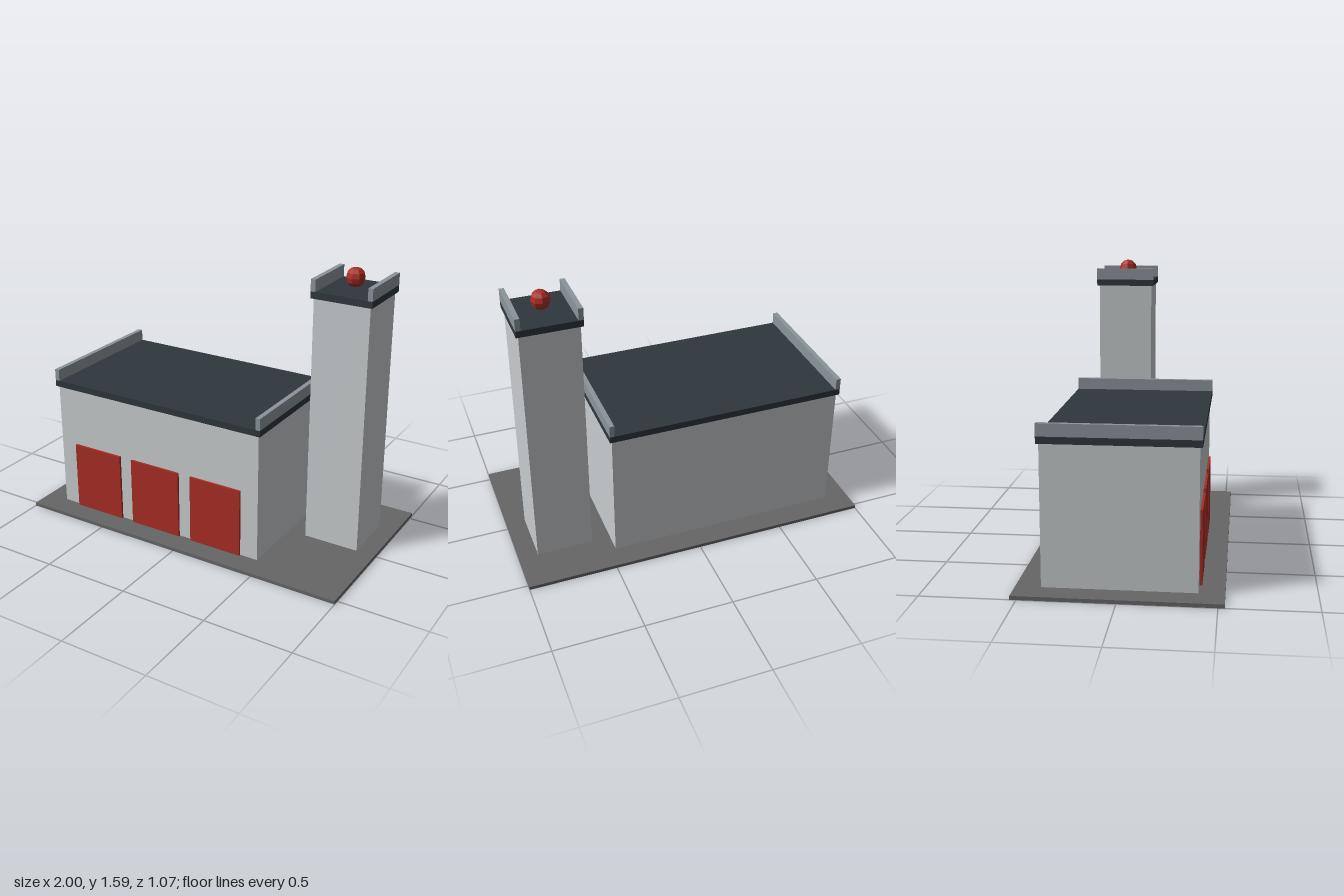
import * as THREE from 'three';

function flat(name, color) {
  const m = new THREE.MeshStandardMaterial({ color });
  m.name = name;
  return m;
}

export function createModel() {
  const model = new THREE.Group();
  model.name = 'fireStation';
  const wall = flat('pale grey wall', 0xc8ccce);
  const roof = flat('dark slate roof', 0x2f373d);
  const trim = flat('grey parapet', 0x8c959c);
  const paving = flat('paving grey', 0x666666);
  const red = flat('red', 0xa82e24);

  // Box standing on height y
  function box(parent, name, material, w, h, d, x, y, z) {
    const mesh = new THREE.Mesh(new THREE.BoxGeometry(w, h, d), material);
    mesh.name = name;
    mesh.position.set(x, y + h / 2, z);
    parent.add(mesh);
  }

  // Walls, overhanging roof slab and a parapet along each side
  function block(name, w, h, d, x, z) {
    const group = new THREE.Group();
    group.name = name;
    group.position.set(x, 0.02, z);
    const rw = w + 0.027, rd = d + 0.027, slab = 0.037;
    box(group, 'walls', wall, w, h, d, 0, 0, 0);
    box(group, 'roofSlab', roof, rw, slab, rd, 0, h, 0);
    for (const [side, label] of [[1, 'leftParapet'], [-1, 'rightParapet']]) {
      box(group, label, trim, 0.027, 0.067, rd, side * (rw / 2 - 0.0133), h + slab, 0);
    }
    model.add(group);
    return group;
  }

  box(model, 'groundSlab', paving, 2, 0.02, 1.067, 0, 0, 0);

  // Main hall with three bay doors
  const hall = block('hall', 1.333, 0.75, 0.8, -0.2, 0);
  for (const x of [-0.4, 0, 0.4]) {
    box(hall, 'bayDoor', red, 0.32, 0.4, 0.0133, x, 0, 0.4067);
  }

  // Watch tower with a beacon
  const tower = block('tower', 0.32, 1.417, 0.32, 0.733, -0.133);
  const beacon = new THREE.Mesh(new THREE.SphereGeometry(0.0533, 8, 6).toNonIndexed(), red);
  beacon.geometry.computeVertexNormals();
  beacon.name = 'beacon';
  beacon.position.y = 1.515;
  tower.add(beacon);

  return model;
}
